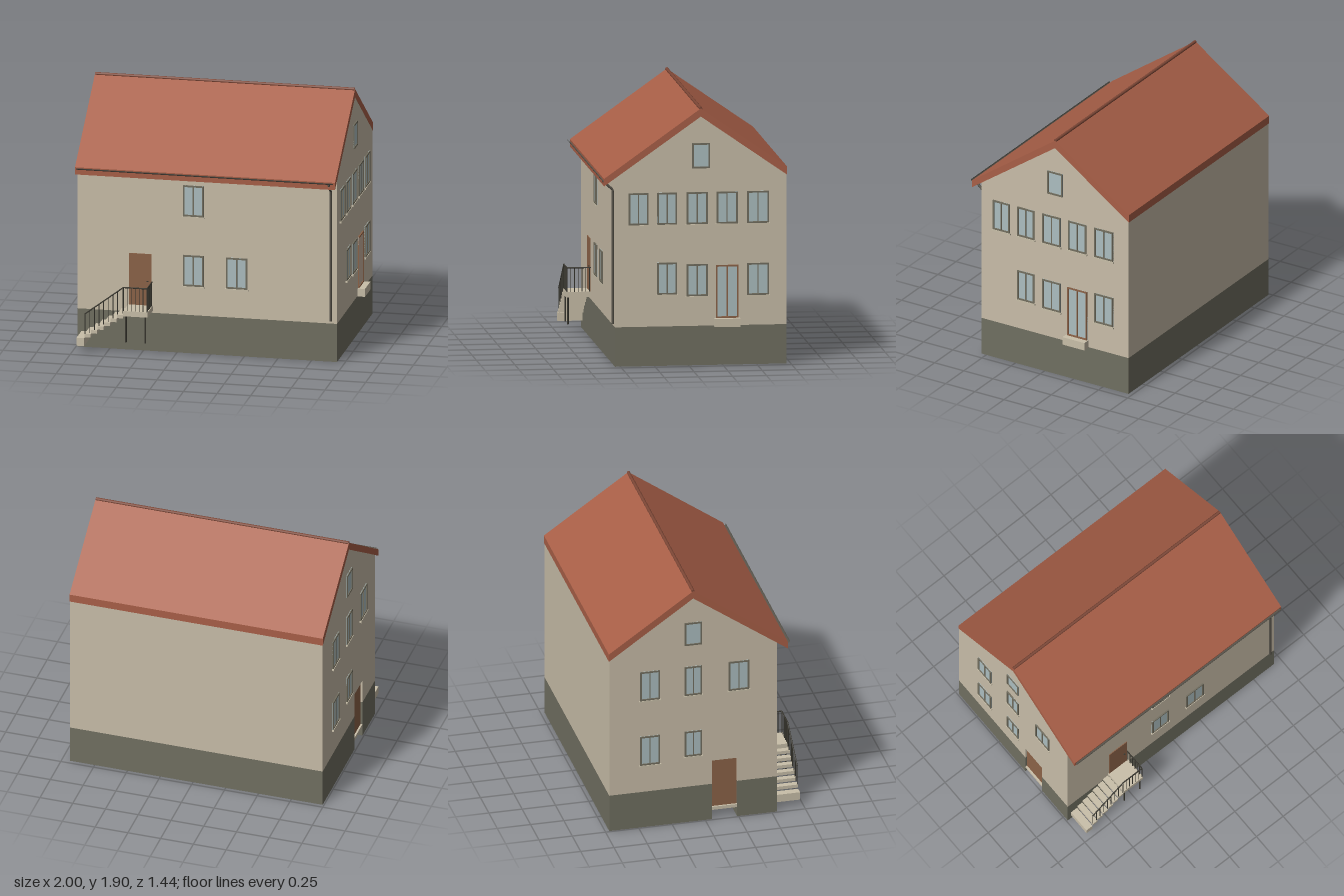
import * as THREE from 'three';

const mat = (name, color) => Object.assign(new THREE.MeshStandardMaterial({ color }), { name });
const M = {
  wall: mat('wall plaster', 0xc8bda8), plinth: mat('plinth grey', 0x706f61),
  roof: mat('roof tile', 0xa85f47), glass: mat('window glass', 0xacbec0),
  frame: mat('window frame', 0x726e5f), door: mat('door wood', 0x8c6348),
  rail: mat('railing iron', 0x3a3830), gutter: mat('gutter metal', 0x57534a),
  stone: mat('step stone', 0xc9bfa9), ridge: mat('ridge tile', 0x7d4736),
};
const X0 = -0.99, X1 = 0.94, ZB = -0.72, ZF = 0.54, ZR = -0.09, PY = 0.29;
const N0 = 0.05, N1 = 0.24; // side entrance niche, z range

function add(parent, name, geo, material) {
  const m = new THREE.Mesh(geo, material);
  m.name = name;
  parent.add(m);
  return m;
}
// Box given by its min and max corners
function box(parent, name, material, x0, x1, y0, y1, z0, z1) {
  const m = add(parent, name, new THREE.BoxGeometry(x1 - x0, y1 - y0, z1 - z0), material);
  m.position.set((x0 + x1) / 2, (y0 + y1) / 2, (z0 + z1) / 2);
  return m;
}
// Round bar between two points
function bar(parent, name, material, a, b, r, sides = 6) {
  const p = new THREE.Vector3(...a), q = new THREE.Vector3(...b), d = q.clone().sub(p);
  const m = add(parent, name, new THREE.CylinderGeometry(r, r, d.length(), sides), material);
  m.position.copy(p).add(q).multiplyScalar(0.5);
  m.quaternion.setFromUnitVectors(new THREE.Vector3(0, 1, 0), d.normalize());
  return m;
}
// Extrude a [z, y] outline along x
function alongX(points, x0, x1) {
  const s = new THREE.Shape(points.map(([z, y]) => new THREE.Vector2(-z, y)));
  return new THREE.ExtrudeGeometry(s, { depth: x1 - x0, bevelEnabled: false })
    .rotateY(Math.PI / 2).translate(x0, 0, 0);
}
// Four bars around an opening, optional middle bar, and a pane; local front is +z
function glazed(parent, name, frameMat, u0, u1, y0, y1, split) {
  const g = new THREE.Group(), t = 0.012, d = 0.01;
  g.name = name;
  parent.add(g);
  box(g, 'pane', M.glass, u0, u1, y0, y1, -0.002, 0.003);
  for (const x of [u0, u1 - t]) box(g, 'frameSide', frameMat, x, x + t, y0, y1, 0, d);
  for (const y of [y0, y1 - t]) box(g, 'frameRail', frameMat, u0 + t, u1 - t, y, y + t, 0, d);
  const c = (u0 + u1) / 2;
  if (split) box(g, 'mullion', frameMat, c - 0.004, c + 0.004, y0 + t, y1 - t, 0, 0.008);
  return g;
}
function windowAt(parent, u0, u1, y0, y1, split = true, sill = true) {
  const g = glazed(parent, 'window', M.frame, u0, u1, y0, y1, split);
  if (sill) box(g, 'sill', M.stone, u0 - 0.007, u1 + 0.007, y0 - 0.013, y0, 0, 0.014);
}

export function createModel() {
  const house = new THREE.Group();
  house.name = 'house';

  // Plinth with the niche open to the side and below
  const plan = [[X0, ZB], [X1, ZB], [X1, ZF], [X0, ZF], [X0, N1], [-0.48, N1], [-0.48, N0], [X0, N0]];
  const plinth = new THREE.Shape(plan.map(([x, z]) => new THREE.Vector2(x, -z)));
  add(house, 'plinth', new THREE.ExtrudeGeometry(plinth, { depth: PY, bevelEnabled: false })
    .rotateX(-Math.PI / 2), M.plinth);

  // Gabled walls; a thin outer layer holds the side door opening
  const gable = [[ZF, PY], [ZF, 1.39], [ZR, 1.84], [ZB, 1.4], [ZB, PY]];
  add(house, 'walls', alongX(gable, X0 + 0.02, X1), M.wall);
  add(house, 'sideWall', alongX([...gable, [N0, PY], [N0, 0.48], [N1, 0.48], [N1, PY]], X0, X0 + 0.02), M.wall);

  // Roof, ridge, gutter and downpipe
  add(house, 'roof', alongX([[0.62, 1.385], [ZR, 1.89], [ZB - 0.003, 1.45], [ZB - 0.003, 1.39],
    [ZR, 1.83], [0.62, 1.33]], X0 - 0.002, X1 + 0.002), M.roof);
  bar(house, 'ridgeCap', M.ridge, [X0, 1.888, ZR], [X1, 1.888, ZR], 0.012, 10);
  const gutter = add(house, 'gutter', new THREE.CylinderGeometry(0.014, 0.014, X1 - X0 - 0.02, 10, 1, true, 0, Math.PI),
    Object.assign(M.gutter, { side: THREE.DoubleSide }));
  gutter.rotation.set(0, 0, -Math.PI / 2);
  gutter.position.set((X0 + X1) / 2, 1.383, 0.625);
  const pipe = [[0.895, 1.37, 0.622], [0.895, 1.355, 0.615], [0.895, 1.3, 0.553], [0.895, 1.27, 0.55], [0.895, 0.31, 0.55]];
  for (let i = 0; i < 4; i++) bar(house, 'downpipe', M.gutter, pipe[i], pipe[i + 1], 0.009, 10);

  // Front windows and door
  const front = new THREE.Group();
  front.name = 'frontOpenings';
  front.position.z = ZF;
  house.add(front);
  windowAt(front, -0.205, -0.05, 1.04, 1.275);
  windowAt(front, -0.205, -0.05, 0.51, 0.745);
  windowAt(front, 0.115, 0.275, 0.51, 0.745);
  box(front, 'frontDoor', M.door, -0.605, -0.44, 0.345, 0.735, 0, 0.006);
  box(front, 'doorHandle', M.rail, -0.475, -0.46, 0.525, 0.532, 0.006, 0.014);

  // Windows on the model's left (+x) wall; local x runs to -z
  const left = new THREE.Group();
  left.name = 'leftOpenings';
  left.position.x = X1;
  left.rotation.y = Math.PI / 2;
  house.add(left);
  for (const [a, b] of [[-0.44, -0.295], [-0.23, -0.085], [-0.015, 0.14], [0.205, 0.36], [0.43, 0.59]])
    windowAt(left, a, b, 1.04, 1.275);
  windowAt(left, -0.23, -0.085, 0.525, 0.76);
  windowAt(left, -0.015, 0.14, 0.51, 0.745);
  windowAt(left, 0.43, 0.59, 0.51, 0.745);
  windowAt(left, 0.027, 0.157, 1.45, 1.635, false, false);
  glazed(left, 'glassDoor', M.door, 0.2, 0.367, 0.345, 0.735, true);
  box(left, 'doorstep', M.stone, 0.187, 0.375, 0.285, 0.345, 0, 0.055);

  // Windows on the model's right (-x) wall; local x runs to +z
  const right = new THREE.Group();
  right.name = 'rightOpenings';
  right.position.x = X0;
  right.rotation.y = -Math.PI / 2;
  house.add(right);
  for (const y of [0.51, 1.04]) windowAt(right, -0.49, -0.34, y, y + 0.235);
  windowAt(right, -0.155, -0.025, 1.04, 1.275);
  windowAt(right, 0.175, 0.33, 1.04, 1.275);
  windowAt(right, -0.155, -0.025, 0.54, 0.745);
  windowAt(right, -0.155, -0.025, 1.45, 1.635, false, false);

  // Side door in the niche, its threshold and inner stairs
  box(house, 'sideDoor', M.door, X0 + 0.014, X0 + 0.026, 0.1, 0.48, N0, N1);
  box(house, 'threshold', M.stone, X0, -0.84, 0.075, 0.1, N0, N1);
  for (let i = 0; i < 4; i++)
    box(house, 'innerStep', M.door, -0.82 + i * 0.07, -0.76 + i * 0.07, 0.12 + i * 0.04, 0.14 + i * 0.04, N0, N1);

  // Front stairs: bottom block, floating treads, landing on posts
  const stairs = new THREE.Group();
  stairs.name = 'frontStairs';
  house.add(stairs);
  box(stairs, 'bottomStep', M.stone, -0.96, -0.903, 0.06, 0.12, ZF, 0.72);
  for (let i = 0; i < 6; i++) {
    const x = -0.9 + i * 0.048, y = 0.128 + i * 0.032;
    box(stairs, 'tread', M.stone, x, x + 0.045, y, y + 0.025, ZF, 0.72);
  }
  box(stairs, 'landing', M.stone, -0.612, -0.43, 0.305, 0.345, ZF, 0.72);
  for (const x of [-0.595, -0.45]) bar(stairs, 'post', M.rail, [x, 0.105, 0.705], [x, 0.305, 0.705], 0.006, 8);

  // Railing down the stairs and around the landing
  const zr = 0.714, xe = -0.436, top = 0.522;
  const rails = [[-0.897, 0.305, zr], [-0.612, top, zr], [xe, top, zr], [xe, top, ZF]];
  for (let i = 0; i < 3; i++) bar(stairs, 'handrail', M.rail, rails[i], rails[i + 1], 0.005);
  for (let i = 0; i < 9; i++) {
    const x = -0.897 + i * 0.0345, k = i / 8.25;
    bar(stairs, 'baluster', M.rail, [x, 0.14 + k * 0.19, zr], [x, 0.305 + k * 0.217, zr], 0.003);
  }
  for (let i = 0; i < 7; i++) {
    const x = -0.612 + i * 0.0293, z = zr - i * 0.0275;
    bar(stairs, 'baluster', M.rail, [x, 0.345, zr], [x, top, zr], 0.003);
    bar(stairs, 'baluster', M.rail, [xe, 0.345, z], [xe, top, z], 0.003);
  }
  return house;
}
